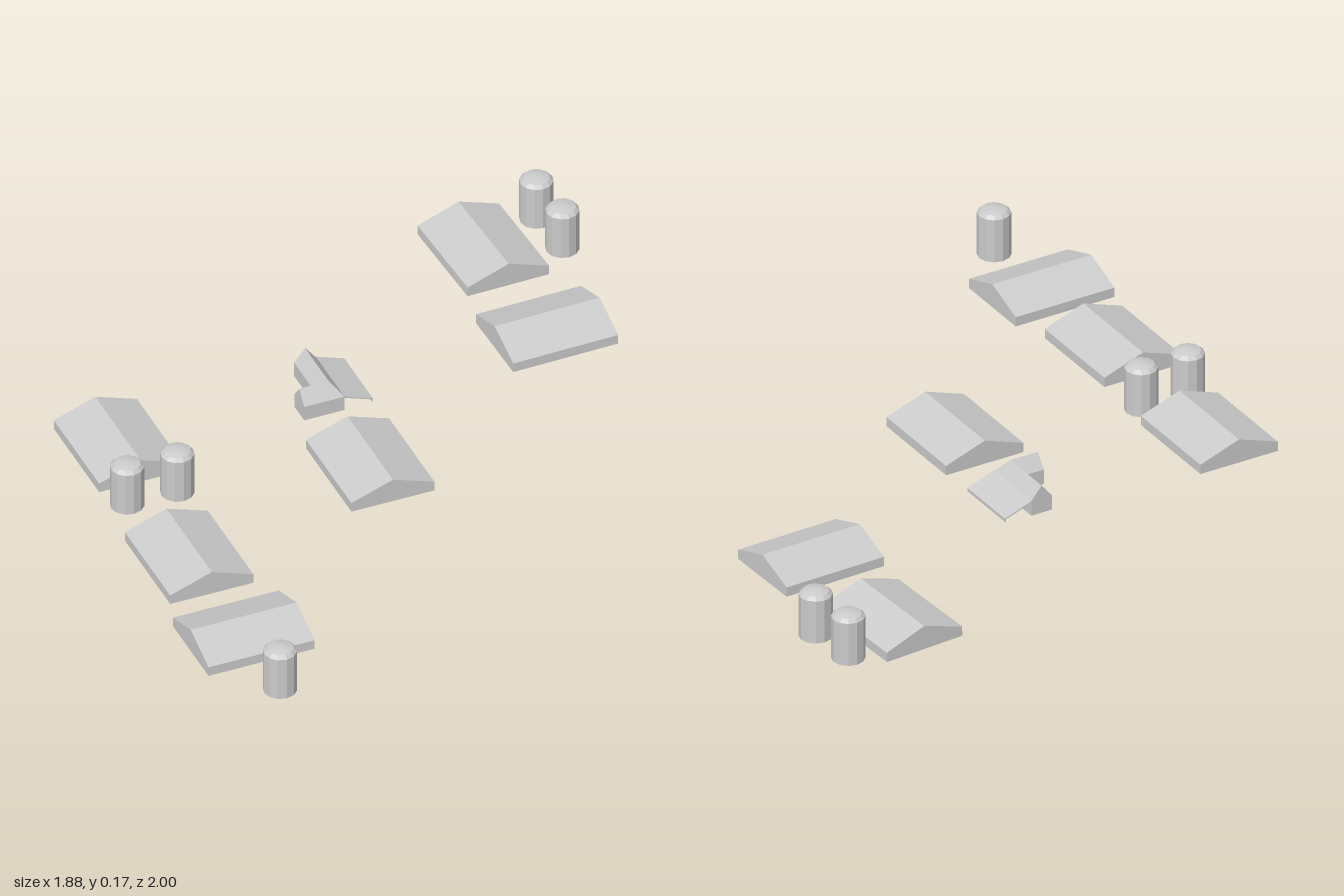
import * as THREE from 'three';

const material = new THREE.MeshStandardMaterial({ color: 0xcccccc, flatShading: true });
const thin = new THREE.MeshStandardMaterial({ color: 0xcccccc, side: THREE.DoubleSide });

// Extrudes an (x, y) outline along z, centred on z = 0
function extrudeZ(points, length) {
  const shape = new THREE.Shape(points.map(([x, y]) => new THREE.Vector2(x, y)));
  return new THREE.ExtrudeGeometry(shape, { depth: length, bevelEnabled: false }).translate(0, 0, -length / 2);
}

// L-shaped house body: a gabled section swept round a mitred corner
function houseGeometry() {
  const w = 0.036;
  const section = [[w, 0.012], [w, 0.062], [0, 0.106], [-w, 0.062], [-w, 0.012]];
  // ridge position x, z and the direction of the section's offset
  const stations = [[-0.172, -0.297, 0, 1], [-0.076, -0.297, 1, 1], [-0.076, -0.478, 1, 0]];
  const rings = stations.map(([x, z, dx, dz]) => section.map(([o, y]) => [x + o * dx, y, z + o * dz]));
  const pos = [];
  const tri = (a, b, c) => pos.push(...a, ...b, ...c);
  const n = section.length;
  for (let i = 0; i < 2; i++) {
    for (let j = 0; j < n; j++) {
      const k = (j + 1) % n;
      tri(rings[i][j], rings[i + 1][j], rings[i + 1][k]);
      tri(rings[i][j], rings[i + 1][k], rings[i][k]);
    }
  }
  // gable ends
  for (let j = 1; j < n - 1; j++) {
    tri(rings[0][0], rings[0][j], rings[0][j + 1]);
    tri(rings[2][0], rings[2][j + 1], rings[2][j]);
  }
  const geometry = new THREE.BufferGeometry();
  geometry.setAttribute('position', new THREE.Float32BufferAttribute(pos, 3));
  geometry.computeVertexNormals();
  return geometry;
}

export function createModel() {
  const group = new THREE.Group();
  const add = (name, geometry, mat = material) => {
    const mesh = new THREE.Mesh(geometry, mat);
    mesh.name = name;
    group.add(mesh);
    return mesh;
  };

  // Barns: low walls under a wide gabled roof; x, base y, z, turn, tilt
  const h = 0.136;
  const barn = extrudeZ([[-h, 0], [h, 0], [h, 0.032], [0, 0.08], [-h, 0.032]], 0.347);
  const barns = [
    [-0.744, 0.01, -0.348, 0, 0],
    [-0.769, 0.01, 0.253, 0, 0],
    [-0.768, 0.01, 0.668, Math.PI / 2, 0],
    [-0.085, 0.01, 0.041, 0, 0],
    [0.655, 0.007, -0.823, 0.044, -0.02],
    [0.673, 0.011, -0.377, Math.PI / 2 + 0.022, 0],
  ];
  for (const [x, y, z, turn, tilt] of barns) {
    const mesh = add('barn', barn);
    mesh.position.set(x, y, z);
    mesh.rotation.set(0, turn, tilt, 'YXZ');
  }

  // Silos: open-bottomed tubes with a shallow cap
  const profile = [[0.052, 0.008], [0.052, 0.153], [0.041, 0.164], [0.02, 0.169], [0, 0.171]];
  const silo = new THREE.LatheGeometry(profile.map(([r, y]) => new THREE.Vector2(r, y)), 12);
  const siloMaterial = thin.clone();
  siloMaterial.flatShading = true;
  const silos = [[0.872, -0.923], [0.886, -0.757], [-0.826, -0.087], [-0.662, -0.087], [-0.768, 0.946]];
  for (const [x, z] of silos) add('silo', silo, siloMaterial).position.set(x, 0, z);

  // Farmhouse and its porch roof with a small drop edge
  add('farmhouse', houseGeometry());
  const porch = extrudeZ([[-0.04, 0.058], [0.05, 0.026], [0.05, 0.018], [0.053, 0.018], [0.053, 0.029], [-0.04, 0.063]], 0.219);
  add('porchRoof', porch, thin).position.z = -0.3695;

  return group;
}
